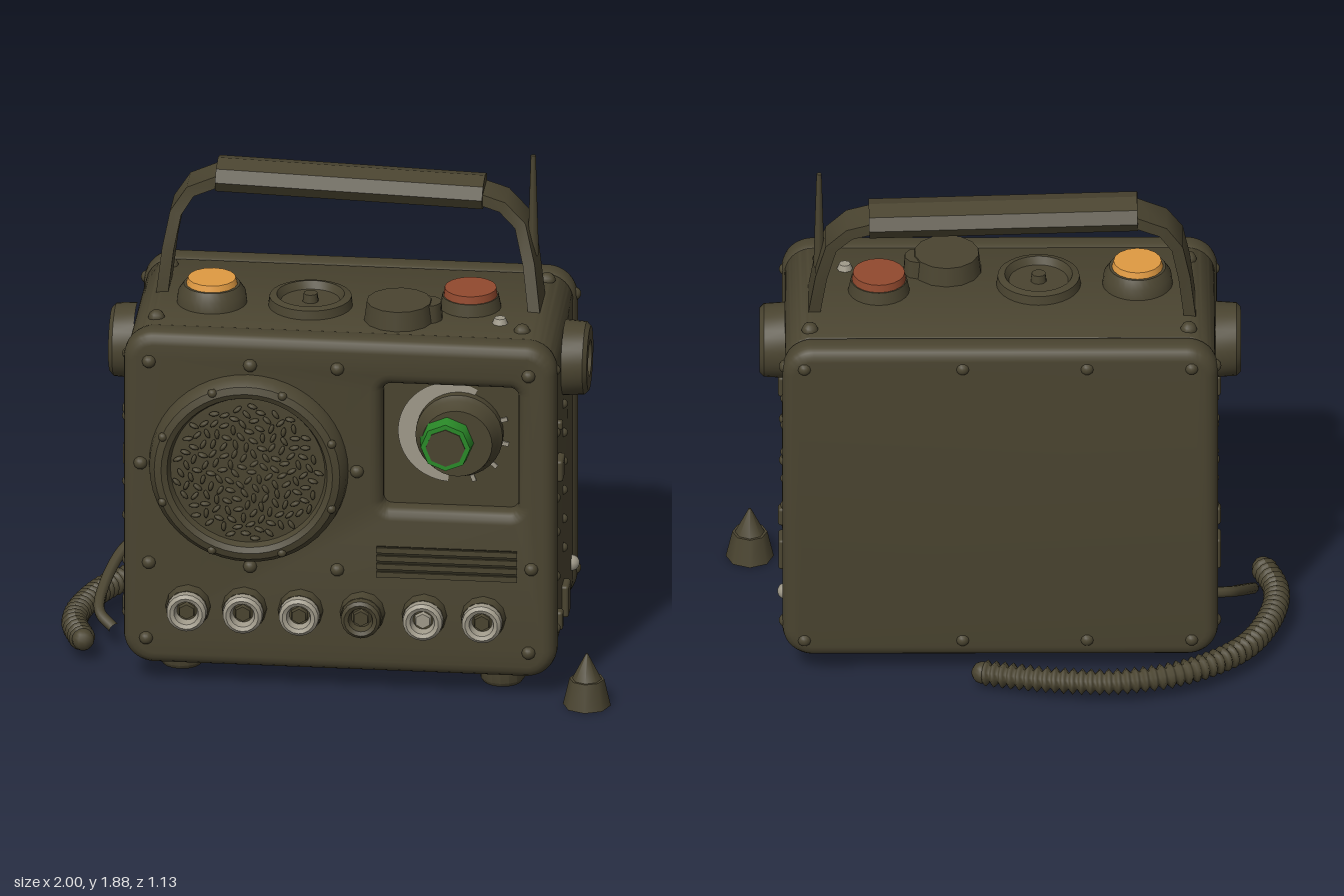
import * as THREE from 'three';
import { mergeGeometries, toCreasedNormals } from 'three/addons/utils/BufferGeometryUtils.js';
import { RoundedBoxGeometry } from 'three/addons/geometries/RoundedBoxGeometry.js';

const mat = (name, color) => Object.assign(new THREE.MeshStandardMaterial({ color }), { name });

export function createModel() {
  const olive = mat('olive', 0x4a4430), dark = mat('dark', 0x2b281b), light = mat('paleGrey', 0xa09a8a);
  const orange = mat('orange', 0xe09a42), red = mat('rust', 0x92492e), green = mat('green', 0x2a8a28);
  const model = new THREE.Group();
  model.name = 'fieldRadio';

  const add = (name, geo, m, x = 0, y = 0, z = 0) => {
    const mesh = new THREE.Mesh(geo, m);
    mesh.name = name;
    mesh.position.set(x, y, z);
    model.add(mesh);
    return mesh;
  };
  // Turn a y-axis geometry so that its top points along the given axis
  const aim = (geo, axis) => {
    if (axis === 'z') geo.rotateX(Math.PI / 2);
    if (axis === '-z') geo.rotateX(-Math.PI / 2);
    if (axis === 'x') geo.rotateZ(-Math.PI / 2);
    if (axis === '-x') geo.rotateZ(Math.PI / 2);
    return geo;
  };
  const cyl = (name, m, rTop, rBot, h, x, y, z, axis = 'y', seg = 24) =>
    add(name, aim(new THREE.CylinderGeometry(rTop, rBot, h, seg), axis), m, x, y, z);
  const lathe = (name, m, pts, x, y, z, axis = 'y', seg = 32) =>
    add(name, aim(toCreasedNormals(new THREE.LatheGeometry(pts.map(p => new THREE.Vector2(...p)), seg), 0.6), axis), m, x, y, z);
  const roundRect = (T, cx, cy, w, h, r) => {
    const s = new T(), a = cx - w / 2, b = cx + w / 2, c = cy - h / 2, d = cy + h / 2;
    s.absarc(b - r, c + r, r, -Math.PI / 2, 0);
    s.absarc(b - r, d - r, r, 0, Math.PI / 2);
    s.absarc(a + r, d - r, r, Math.PI / 2, Math.PI);
    s.absarc(a + r, c + r, r, Math.PI, Math.PI * 1.5);
    s.closePath();
    return s;
  };
  // Rounded slab from z0 to z1 with bevelled rims
  const slab = (name, w, h, r, z0, z1, bevel, hole) => {
    const s = roundRect(THREE.Shape, 0.027, 0.712, w, h, r);
    if (hole) s.holes.push(hole);
    const g = new THREE.ExtrudeGeometry(s, {
      depth: z1 - z0 - 2 * bevel, bevelEnabled: true, bevelSize: bevel, bevelThickness: bevel,
      bevelOffset: -bevel, bevelSegments: 4, curveSegments: 8,
    });
    return add(name, toCreasedNormals(g, 0.6), olive, 0, 0, z0 + bevel);
  };

  // Case
  slab('caseCore', 1.52, 1.26, 0.1, -0.26, 0.36, 0.01);
  slab('frontShell', 1.54, 1.27, 0.11, 0.33, 0.45, 0.045, roundRect(THREE.Path, 0.42, 0.945, 0.48, 0.47, 0.03));
  slab('backShell', 1.54, 1.27, 0.11, -0.36, -0.24, 0.045);
  add('recessFloor', new THREE.BoxGeometry(0.5, 0.5, 0.04), olive, 0.42, 0.945, 0.365);

  // Speaker: raised rim with a bumpy grille
  lathe('speakerRim', olive, [[0.355, 0], [0.35, 0.035], [0.33, 0.062], [0.305, 0.07], [0.285, 0.06], [0.275, 0.035], [0, 0.05]]
    , -0.295, 0.85, 0.445, 'z', 48);
  let seed = 7;
  const rnd = () => (seed = (seed * 16807) % 2147483647) / 2147483647;
  const bumps = [];
  for (let i = 0; i < 150; i++) {
    const r = 0.258 * Math.sqrt((i + 0.5) / 150), a = i * 2.39996;
    const g = new THREE.SphereGeometry(0.012, 7, 5);
    g.scale(1.6, 0.7, 0.9).rotateZ(rnd() * Math.PI).translate(r * Math.cos(a), r * Math.sin(a), 0);
    bumps.push(g);
  }
  add('speakerGrille', mergeGeometries(bumps), olive, -0.295, 0.85, 0.493);

  // Tuning knob with pale scale
  add('dialScale', new THREE.RingGeometry(0.12, 0.19, 32, 1, 1.05, 3.6), light, 0.42, 0.99, 0.39);
  for (let i = 0; i < 4; i++) {
    const a = -1.2 + i * 0.5;
    add('dialTick', new THREE.BoxGeometry(0.025, 0.015, 0.006), light, 0.43 + 0.185 * Math.cos(a), 0.99 + 0.185 * Math.sin(a), 0.389).rotation.z = a;
  }
  lathe('tuningKnob', olive, [[0.155, 0], [0.155, 0.035], [0.14, 0.055], [0.125, 0.11], [0, 0.11]], 0.45, 0.99, 0.385, 'z');
  cyl('knobCap', green, 0.088, 0.1, 0.09, 0.415, 0.995, 0.505, 'z', 8);
  cyl('knobFace', olive, 0.07, 0.07, 0.008, 0.415, 0.995, 0.55, 'z', 8);

  // Louvres
  add('louvreSlot', new THREE.BoxGeometry(0.5, 0.115, 0.006), dark, 0.41, 0.51, 0.451);
  for (let i = 0; i < 4; i++) add('louvre', new THREE.BoxGeometry(0.5, 0.02, 0.014), olive, 0.41, 0.555 - i * 0.031, 0.455);

  // Row of sockets
  [-0.51, -0.31, -0.11, 0.11, 0.33, 0.54].forEach((x, i) => {
    const m = i === 3 ? olive : light;
    cyl('socketBase', olive, 0.075, 0.082, 0.06, x, 0.31, 0.465, 'z', 12);
    lathe('socketRing', m, [[0.072, 0], [0.07, 0.025], [0.058, 0.035], [0.044, 0.028], [0.036, 0]], x, 0.31, 0.495, 'z', 18);
    cyl('socketCentre', i === 4 ? light : olive, 0.028, 0.034, 0.02, x, 0.31, 0.5, 'z', 6);
  });

  // Top controls
  lathe('lampBase', olive, [[0.125, 0], [0.12, 0.04], [0.1, 0.07], [0, 0.07]], -0.46, 1.34, 0.115);
  cyl('orangeLamp', orange, 0.085, 0.092, 0.025, -0.46, 1.42, 0.115, 'y', 16);
  lathe('topDial', olive, [[0.15, 0], [0.145, 0.035], [0.12, 0.042], [0.105, 0.015], [0, 0.015]], -0.11, 1.34, 0.11);
  cyl('dialPost', olive, 0.025, 0.03, 0.04, -0.11, 1.365, 0.11, 'y', 10);
  cyl('selector', olive, 0.115, 0.125, 0.075, 0.215, 1.375, 0.21, 'y', 14);
  cyl('selectorBoss', olive, 0.05, 0.055, 0.07, 0.315, 1.372, 0.195, 'y', 10);
  cyl('buttonBase', olive, 0.1, 0.11, 0.05, 0.455, 1.362, 0.07);
  cyl('redButton', red, 0.092, 0.096, 0.03, 0.455, 1.4, 0.07, 'y', 20);
  cyl('paleStud', light, 0.02, 0.03, 0.025, 0.575, 1.35, 0.215, 'y', 8);

  // Carrying handle: tapered straps and an eight-sided grip
  const strap = st => {
    const pos = [], idx = [];
    st.forEach(([x, y, z, w], i) => {
      const a = st[Math.max(i - 1, 0)], b = st[Math.min(i + 1, st.length - 1)];
      const t = new THREE.Vector2(b[0] - a[0], b[1] - a[1]).normalize().multiplyScalar(0.021);
      [[1, -1], [1, 1], [-1, 1], [-1, -1]].forEach(([n, s], j) => {
        pos.push(x - t.y * n, y + t.x * n, z + s * w);
        const p = i * 4 + j, q = i * 4 + (j + 1) % 4;
        if (i < st.length - 1) idx.push(p, q, q + 4, p, q + 4, p + 4);
      });
    });
    const g = new THREE.BufferGeometry();
    g.setAttribute('position', new THREE.Float32BufferAttribute(pos, 3));
    g.setIndex(idx);
    return toCreasedNormals(g, 0.7);
  };
  add('handleStrapRight', strap([[-0.645, 1.33, -0.03, 0.08], [-0.625, 1.5, -0.04, 0.08], [-0.6, 1.63, -0.06, 0.075],
    [-0.55, 1.705, -0.075, 0.07], [-0.43, 1.755, -0.08, 0.07]]), olive);
  add('handleStrapLeft', strap([[0.685, 1.33, 0.015, 0.095], [0.66, 1.5, -0.03, 0.085], [0.625, 1.63, -0.06, 0.07],
    [0.56, 1.695, -0.07, 0.07], [0.46, 1.725, -0.075, 0.07]]), olive);
  const gripGeo = aim(new THREE.CylinderGeometry(0.06, 0.06, 0.95, 8), 'x').scale(1, 1, 1.55).rotateZ(-0.03);
  add('handleGrip', toCreasedNormals(gripGeo, 0.5), olive, 0.015, 1.738, -0.075);
  cyl('antenna', olive, 0.009, 0.02, 0.38, 0.667, 1.695, -0.035, 'y', 8);

  // Side ports
  const port = [[0.135, 0], [0.13, 0.075], [0.115, 0.09], [0.065, 0.09], [0.05, 0.045], [0, 0.045]];
  lathe('sidePortLeft', olive, port, 0.787, 1.15, 0.045, 'x');
  lathe('sidePortRight', olive, port, -0.735, 1.15, 0.045, '-x');

  // Bolts and small side fittings
  const bolt = (x, y, z, axis, r = 0.025, m = olive) =>
    add('bolt', aim(new THREE.SphereGeometry(r, 10, 5, 0, Math.PI * 2, 0, Math.PI / 2), axis), m, x, y, z);
  for (const [x, y] of [[-0.65, 1.24], [-0.29, 1.24], [0.02, 1.24], [0.7, 1.24], [-0.65, 0.47], [-0.29, 0.47], [0.02, 0.47],
    [-0.66, 0.18], [0.7, 0.18], [0.09, 0.85], [-0.68, 0.85], [0.71, 0.5]]) bolt(x, y, 0.447, 'z');
  for (let i = 0; i < 8; i++) {
    const a = i * Math.PI / 4 + 0.39;
    bolt(-0.295 + 0.325 * Math.cos(a), 0.85 + 0.325 * Math.sin(a), 0.503, 'z', 0.017);
  }
  for (const x of [-0.65, -0.28, 0.16, 0.72]) for (const y of [0.15, 1.27]) bolt(x, y, -0.35, '-z');
  for (const [x, z] of [[-0.64, 0.28], [0.66, 0.28], [-0.64, -0.2], [0.7, -0.2]]) bolt(x, 1.338, z, 'y', 0.03);
  for (const [s, x, axis] of [[1, 0.785, 'x'], [-1, -0.73, '-x']]) {
    for (let i = 0; i < 6; i++) bolt(x, 0.44 + i * 0.11, 0.09, axis, 0.018);
    for (const y of [0.25, 0.45, 0.62, 0.75, 1.0, 1.24]) bolt(x, y, 0.38, axis, 0.022);
    for (const y of [0.2, 1.25]) bolt(x, y, -0.3, axis, 0.025);
    for (const [y, z, h, w] of [[0.83, 0.29, 0.08, 0.09], [0.26, 0.32, 0.07, 0.045], [1.01, 0.33, 0.035, 0.03], [0.25, 0.1, 0.12, 0.085]])
      add('sideFitting', new RoundedBoxGeometry(0.035, h, w, 2, 0.01), olive, x + s * 0.008, y, z);
  }
  bolt(0.785, 0.26, -0.2, 'x', 0.03, light);

  // Front feet
  lathe('footLeft', olive, [[0, 0], [0.07, 0], [0.08, 0.015], [0.08, 0.1]], 0.59, 0, 0.27, 'y', 16);
  lathe('footRight', olive, [[0, 0], [0.07, 0], [0.08, 0.015], [0.08, 0.09]], -0.55, 0.02, 0.27, 'y', 16);

  // Corrugated hose: a tube whose radius ripples along its length
  const path = pts => new THREE.CatmullRomCurve3(pts.map(p => new THREE.Vector3(...p)));
  const hosePath = path([[0.09, 0.06, -0.43], [-0.15, 0.075, -0.505], [-0.4, 0.08, -0.525], [-0.65, 0.08, -0.45],
    [-0.84, 0.08, -0.29], [-0.935, 0.08, -0.07], [-0.95, 0.08, 0.1], [-0.905, 0.08, 0.25]]);
  const hose = new THREE.TubeGeometry(hosePath, 200, 0.039, 12);
  const p = hose.attributes.position, n = hose.attributes.normal;
  for (let i = 0; i < p.count; i++) {
    const k = [-0.009, 0, 0.009, 0][Math.floor(i / 13) % 4];
    p.setXYZ(i, p.getX(i) + n.getX(i) * k, p.getY(i) + n.getY(i) * k, p.getZ(i) + n.getZ(i) * k);
  }
  hose.computeVertexNormals();
  add('hose', hose, olive);
  for (const t of [0, 1]) add('hoseEnd', new THREE.SphereGeometry(0.04, 10, 8), olive).position.copy(hosePath.getPoint(t));
  add('cable', new THREE.TubeGeometry(path([[-0.72, 0.28, -0.25], [-0.79, 0.26, -0.21], [-0.855, 0.18, -0.06],
    [-0.865, 0.11, 0.06], [-0.81, 0.07, 0.11]]), 32, 0.02, 8), olive);

  // Loose pointed cap beside the case
  cyl('capBase', olive, 0.062, 0.085, 0.1, 0.91, 0.05, 0.47, 'y', 8);
  cyl('capPoint', olive, 0.004, 0.055, 0.1, 0.91, 0.145, 0.47, 'y', 8);

  return model;
}
